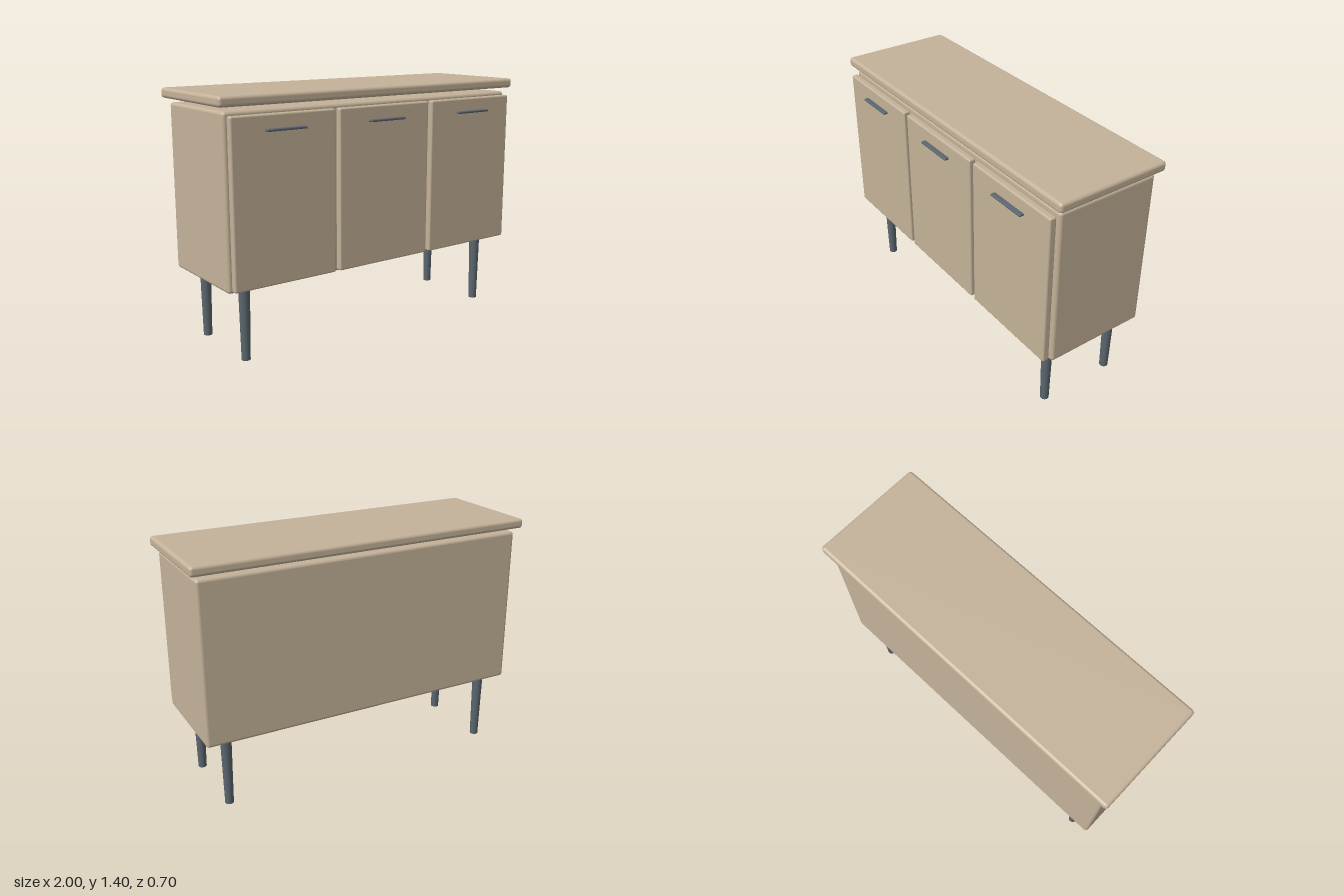
import * as THREE from 'three';
import { RoundedBoxGeometry } from 'three/addons/geometries/RoundedBoxGeometry.js';

export function createModel() {
  const group = new THREE.Group();
  const wood = new THREE.MeshStandardMaterial({ color: 0xc4b299 });
  wood.name = 'paleWood';
  const metal = new THREE.MeshStandardMaterial({ color: 0x5a666e });
  metal.name = 'slateMetal';

  const add = (name, geometry, material, x, y, z) => {
    const mesh = new THREE.Mesh(geometry, material);
    mesh.name = name;
    mesh.position.set(x, y, z);
    group.add(mesh);
  };
  // Rounded box given by its size, edge radius and centre
  const box = (name, material, [w, h, d], r, [x, y, z]) =>
    add(name, new RoundedBoxGeometry(w, h, d, 4, r), material, x, y, z);

  // Cabinet body and the top floating just above it
  box('cabinetBody', wood, [1.93, 0.917, 0.597], 0.018, [0, 0.8635, -0.0185]);
  box('tableTop', wood, [2, 0.055, 0.66], 0.018, [0, 1.3725, -0.018]);

  // Three doors, each with a slim horizontal pull
  ['right', 'middle', 'left'].forEach((side, i) => {
    const x = (i - 1) * 0.643;
    box(side + 'Door', wood, [0.617, 0.883, 0.04], 0.01, [x, 0.8615, 0.308]);
    box(side + 'Handle', metal, [0.235, 0.013, 0.028], 0.005, [x, 1.224, 0.34]);
  });

  // Four tapered legs
  const leg = new THREE.CylinderGeometry(0.031, 0.024, 0.41, 24);
  for (const [side, x] of [['left', 0.834], ['right', -0.834]]) {
    add(side + 'FrontLeg', leg, metal, x, 0.205, 0.202);
    add(side + 'BackLeg', leg, metal, x, 0.205, -0.237);
  }
  return group;
}
